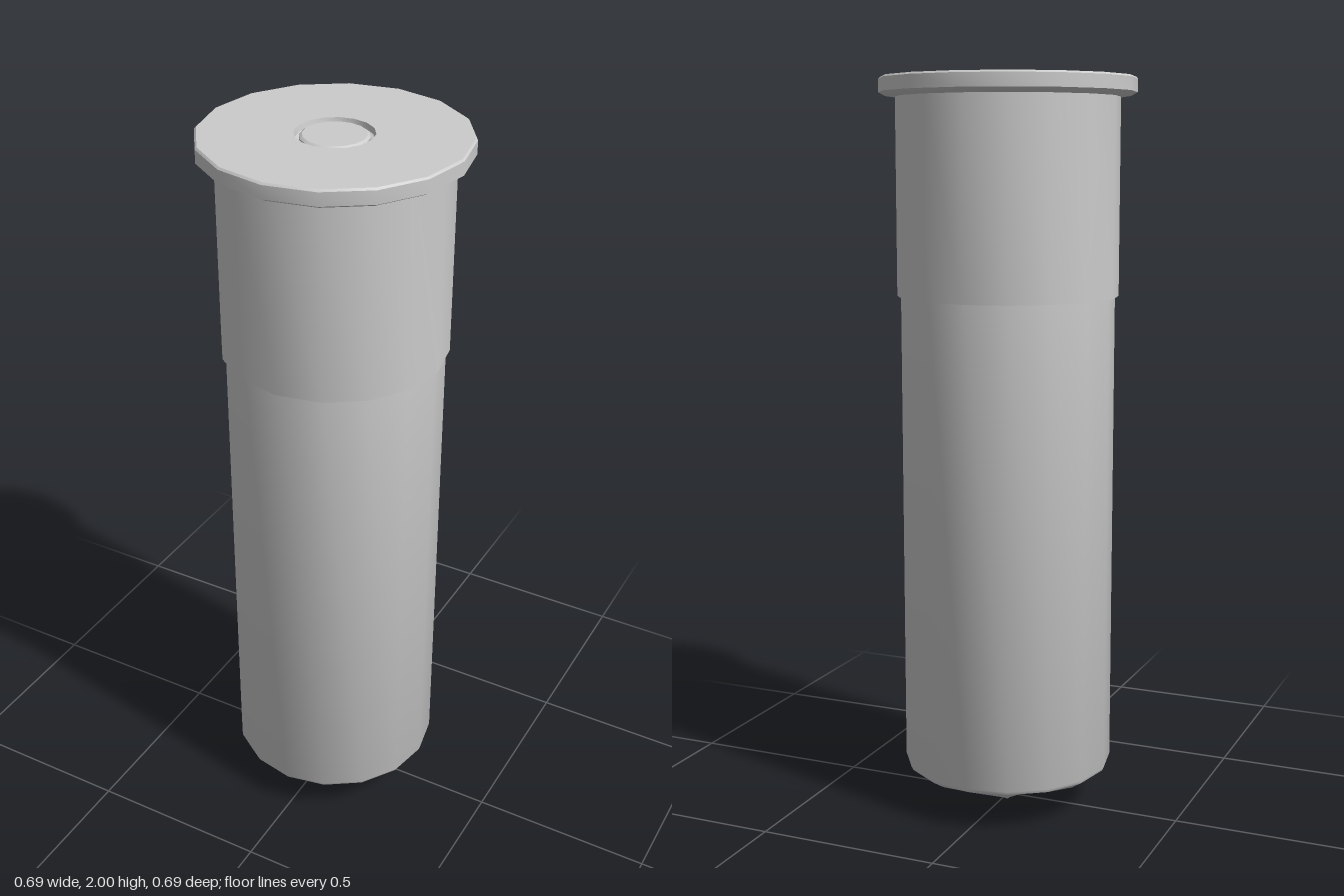
import * as THREE from 'three';
import { toCreasedNormals } from 'three/addons/utils/BufferGeometryUtils.js';

const SIDES = 16;
const material = new THREE.MeshStandardMaterial({ color: 0xcccccc, side: THREE.DoubleSide });

// Revolves [radius, height] pairs; fold lifts every second column of points
function turned(name, profile, fold = () => 0) {
  const points = profile.map(([r, y]) => new THREE.Vector2(r, y));
  const geometry = new THREE.LatheGeometry(points, SIDES);
  const pos = geometry.attributes.position;
  for (let i = 0; i < pos.count; i++) {
    const column = Math.floor(i / points.length);
    const row = i % points.length;
    if (column % 2 === 0) pos.setY(i, pos.getY(i) + fold(row));
  }
  const mesh = new THREE.Mesh(toCreasedNormals(geometry, 0.6), material);
  mesh.name = name;
  return mesh;
}

export function createModel() {
  const group = new THREE.Group();
  group.name = 'cartridge';

  // Star-folded closure at the lower end: eight valleys between eight ridges
  const lift = [0, 0.018, 0.034, 0.022, 0];
  group.add(turned('foldedCrimp',
    [[0, 0], [0.07, 0.022], [0.16, 0.05], [0.25, 0.09], [0.284, 0.112]],
    (row) => lift[row]));

  // Long tube
  group.add(turned('tube', [[0.284, 0.112], [0.289, 0.122], [0.289, 1.43]]));

  // Slightly wider sleeve around the upper part
  group.add(turned('sleeve', [[0.287, 1.423], [0.299, 1.423], [0.299, 1.955]]));

  // Flanged head with a round recess in its top
  group.add(turned('rim', [
    [0.29, 1.948], [0.325, 1.95], [0.343, 1.96], [0.343, 1.995], [0.338, 2],
    [0.1, 2], [0.097, 1.985], [0.087, 1.982],
  ]));

  // Small cap seated in the recess
  group.add(turned('primer', [[0.087, 1.982], [0.087, 1.992], [0.08, 1.997], [0, 1.997]]));

  return group;
}
